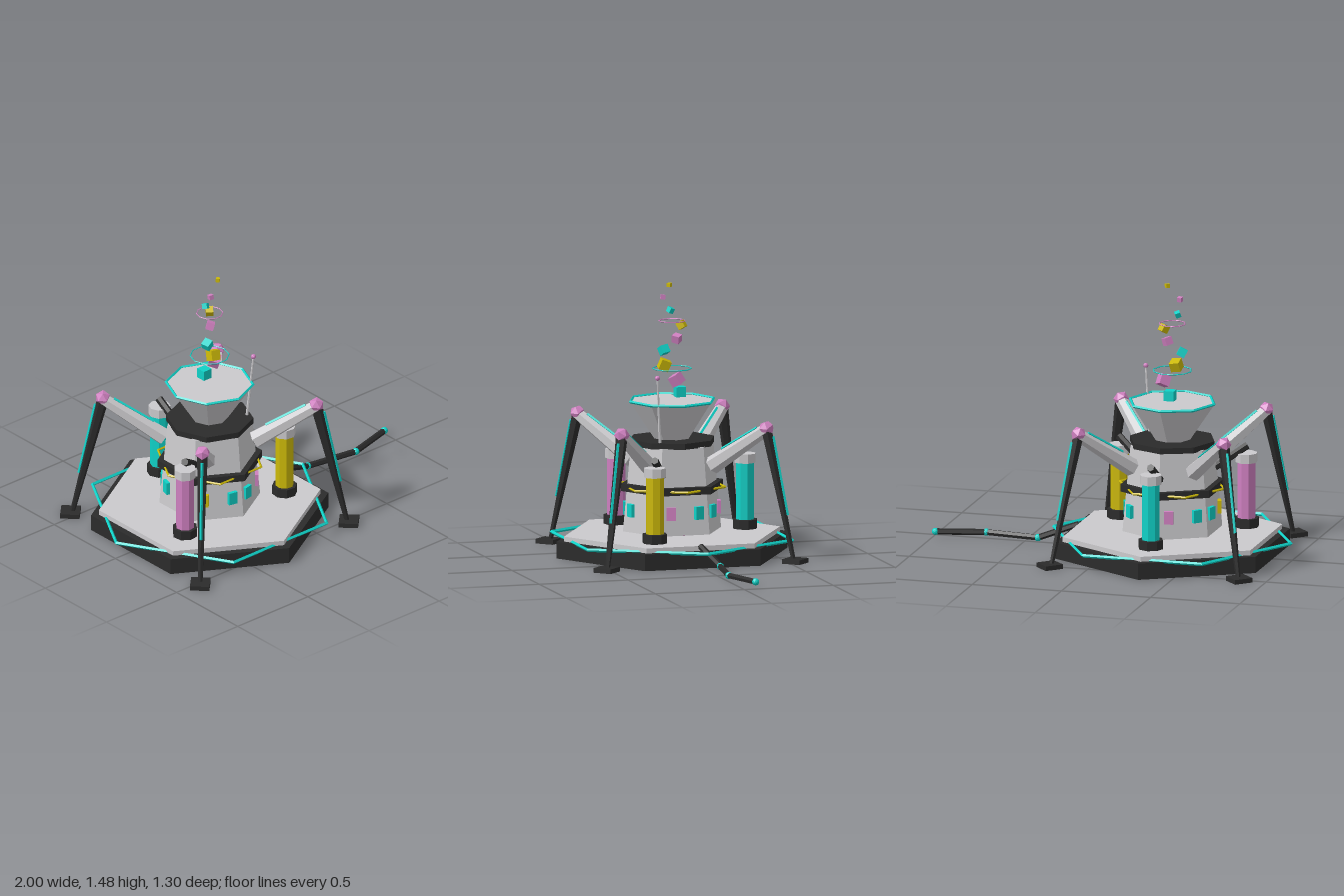
import * as THREE from 'three';

const mat = (name, color) => {
  const m = new THREE.MeshStandardMaterial({ color, flatShading: true });
  m.name = name;
  return m;
};

export function createModel() {
  const light = mat('light grey', 0xcbcacd);
  const dark = mat('charcoal', 0x2b2b2b);
  const teal = mat('teal', 0x10d2c8);
  const pink = mat('pink', 0xcf80c0);
  const yellow = mat('yellow', 0xcbb808);

  const model = new THREE.Group();
  model.name = 'machine';
  const station = new THREE.Group();
  station.name = 'station';
  station.position.x = -0.327;
  model.add(station);

  const V = (x, y, z) => new THREE.Vector3(x, y, z);
  const add = (parent, name, geo, material, x = 0, y = 0, z = 0) => {
    const m = new THREE.Mesh(geo, material);
    m.name = name;
    m.position.set(x, y, z);
    parent.add(m);
    return m;
  };
  // upright prism between two heights
  const prism = (parent, name, material, rTop, rBottom, y0, y1, sides, x = 0, z = 0) =>
    add(parent, name, new THREE.CylinderGeometry(rTop, rBottom, y1 - y0, sides), material, x, (y0 + y1) / 2, z);
  // tapered rod from a to b
  const rod = (parent, name, material, a, b, rA, rB, sides = 6) => {
    const d = b.clone().sub(a);
    const m = add(parent, name, new THREE.CylinderGeometry(rB, rA, d.length(), sides), material);
    m.position.copy(a).add(b).multiplyScalar(0.5);
    m.quaternion.setFromUnitVectors(V(0, 1, 0), d.normalize());
    return m;
  };
  // flat ring with straight sides
  const ring = (name, material, r, tube, y, sides) =>
    add(station, name, new THREE.TorusGeometry(r, tube, 4, sides).rotateX(Math.PI / 2), material, 0, y, 0);

  // base
  prism(station, 'base', dark, 0.65, 0.65, 0, 0.09, 6);
  prism(station, 'deck', light, 0.607, 0.607, 0.09, 0.117, 6);
  ring('baseRing', teal, 0.665, 0.01, 0.092, 6);

  // tower
  prism(station, 'towerSeat', pink, 0.172, 0.172, 0.115, 0.132, 8);
  prism(station, 'tower', light, 0.232, 0.276, 0.13, 0.6, 6);
  prism(station, 'belt', dark, 0.287, 0.287, 0.35, 0.39, 6);
  ring('beltRing', yellow, 0.293, 0.007, 0.37, 6);
  prism(station, 'collar', dark, 0.236, 0.236, 0.596, 0.628, 8);
  prism(station, 'funnel', light, 0.235, 0.1, 0.628, 0.83, 8);
  ring('funnelRim', teal, 0.235, 0.008, 0.832, 8);

  // windows, a pair around every corner of the tower
  [teal, pink, teal, pink, teal, yellow].forEach((m, i) => {
    for (const off of [-12, 12]) {
      const a = THREE.MathUtils.degToRad(i * 60 + off);
      const w = add(station, 'window', new THREE.BoxGeometry(0.05, 0.07, 0.02), m,
        Math.sin(a) * 0.253, 0.25, Math.cos(a) * 0.253);
      w.rotation.y = a;
    }
  });

  // canisters with feed pipes
  [[60, yellow], [180, teal], [300, pink]].forEach(([deg, m]) => {
    const g = new THREE.Group();
    g.name = 'canister';
    g.rotation.y = THREE.MathUtils.degToRad(deg);
    station.add(g);
    prism(g, 'canisterFoot', dark, 0.068, 0.068, 0.117, 0.167, 8, 0, 0.41);
    prism(g, 'canisterTank', m, 0.05, 0.05, 0.167, 0.475, 8, 0, 0.41);
    prism(g, 'canisterCap', light, 0.06, 0.06, 0.475, 0.525, 8, 0, 0.41);
    rod(g, 'feedPipe', dark, V(0, 0.565, 0.415), V(0, 0.455, 0.235), 0.021, 0.021);
  });

  // legs, built along local +z and turned to the diagonals
  for (let i = 0; i < 4; i++) {
    const g = new THREE.Group();
    g.name = 'leg';
    g.rotation.y = Math.PI / 4 + i * Math.PI / 2;
    station.add(g);
    const hip = V(0, 0.495, 0.245), knee = V(0, 0.715, 0.575), ankle = V(0, 0.015, 0.74);
    rod(g, 'upperLeg', light, hip, knee, 0.05, 0.034);
    rod(g, 'lowerLeg', dark, knee, ankle, 0.032, 0.013);
    add(g, 'knee', new THREE.IcosahedronGeometry(0.043, 0), pink, 0, 0.72, 0.575);
    add(g, 'foot', new THREE.BoxGeometry(0.105, 0.025, 0.105), dark, 0, 0.0125, 0.75);
    // light strips along the outer faces
    const strip = (name, a, b, t0, t1, lift0, lift1) => {
      const n = V(0, b.z - a.z, a.y - b.y).normalize();
      if (n.y < 0) n.negate();
      rod(g, name, teal, a.clone().lerp(b, t0).addScaledVector(n, lift0),
        a.clone().lerp(b, t1).addScaledVector(n, lift1), 0.008, 0.008, 4);
    };
    strip('upperStrip', hip, knee, 0.25, 0.88, 0.046, 0.036);
    strip('lowerStrip', knee, ankle, 0.06, 0.66, 0.032, 0.021);
  }

  // antenna
  rod(station, 'antenna', light, V(0.163, 0.62, 0.117), V(0.19, 0.985, 0.14), 0.008, 0.005);
  add(station, 'antennaTip', new THREE.IcosahedronGeometry(0.014, 1), pink, 0.19, 0.985, 0.14);

  // floating cubes and halos
  [
    [0, 0.877, -0.043, 0.055, teal], [0.046, 0.95, -0.012, 0.057, pink],
    [-0.01, 1.025, 0.04, 0.055, yellow], [-0.045, 1.1, 0.032, 0.045, teal],
    [0.022, 1.17, -0.02, 0.042, pink], [0.035, 1.245, -0.042, 0.04, yellow],
    [-0.03, 1.317, 0, 0.029, teal], [-0.03, 1.39, 0.042, 0.025, pink],
    [0.036, 1.465, 0.026, 0.021, yellow],
  ].forEach(([x, y, z, s, m], i) => {
    const c = add(station, 'floatingCube', new THREE.BoxGeometry(s, s, s), m, x, y, z);
    c.rotation.set(i * 0.4, i * 0.7, i * 0.2);
  });
  ring('lowerHalo', teal, 0.105, 0.003, 1.005, 10);
  ring('upperHalo', pink, 0.071, 0.003, 1.264, 10);

  // jointed cable trailing to the side
  const joints = [V(0.2, 0.115, 0), V(0.413, 0.036, -0.045), V(0.715, 0.034, 0), V(0.98, 0.036, -0.07)];
  for (let i = 0; i < 3; i++) {
    rod(model, 'cable', dark, joints[i], joints[i + 1], 0.017, 0.017);
    const p = joints[i + 1];
    add(model, 'cableJoint', new THREE.IcosahedronGeometry(0.02, 1), teal, p.x, p.y, p.z);
  }
  return model;
}
